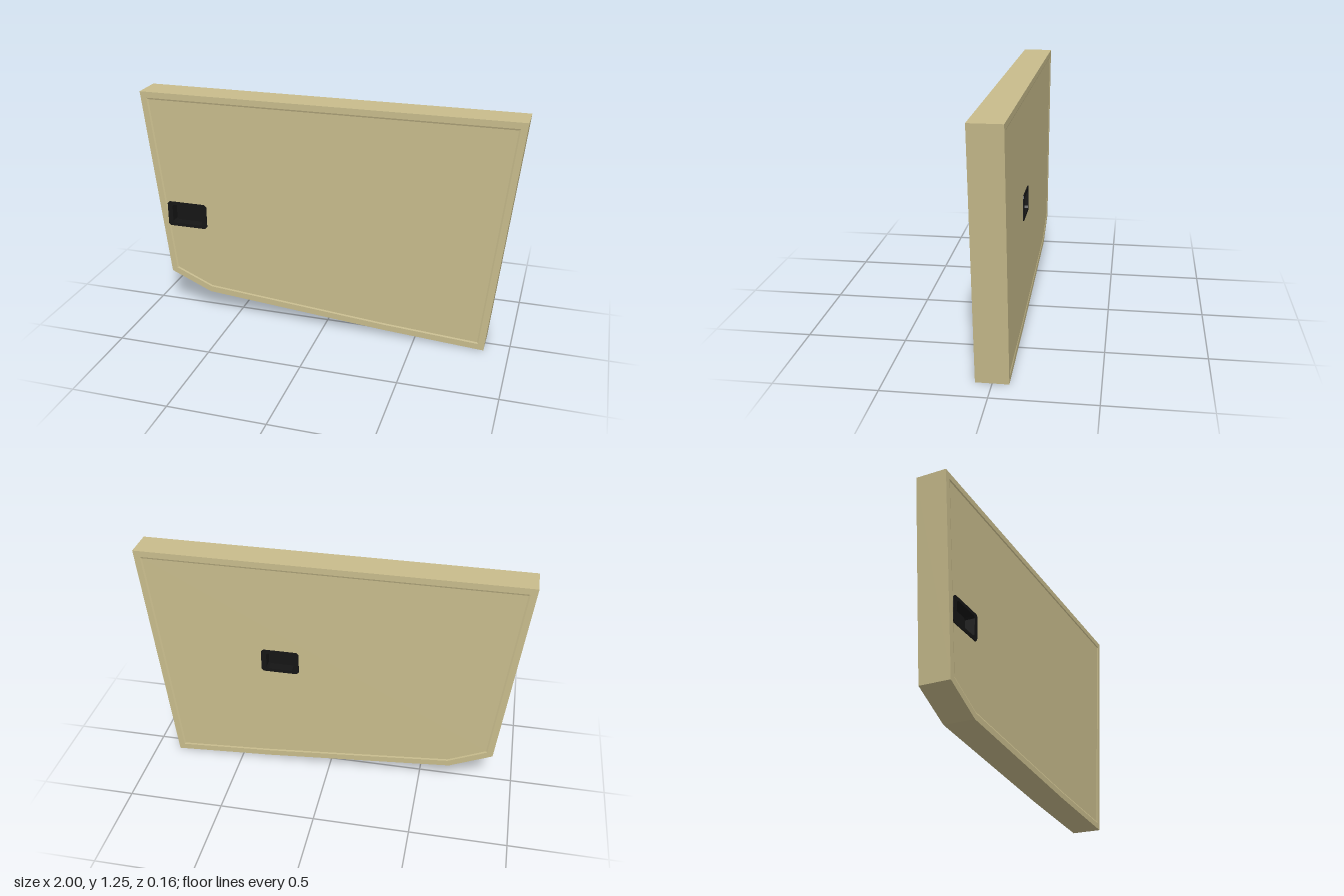
import * as THREE from 'three';

// Panel outline, counter-clockwise seen from the front
const OUTLINE = [[-1, 1.246], [-0.885, 0.22], [-0.66, 0.12], [0.33, 0.035], [0.87, 0], [1, 1.25]]
  .map(([x, y]) => new THREE.Vector2(x, y));

// Move every edge inwards by d
function inset(points, d) {
  const n = points.length;
  return points.map((p, i) => {
    const a = p.clone().sub(points[(i + n - 1) % n]).normalize();
    const b = points[(i + 1) % n].clone().sub(p).normalize();
    const na = new THREE.Vector2(-a.y, a.x), nb = new THREE.Vector2(-b.y, b.x);
    return p.clone().add(na.clone().add(nb).multiplyScalar(d / (1 + na.dot(nb))));
  });
}

// Rectangle with chamfered corners
function chamferRect(Type, x, y, w, h, c) {
  const l = x - w / 2, r = x + w / 2, b = y - h / 2, t = y + h / 2;
  return new Type([[l + c, b], [r - c, b], [r, b + c], [r, t - c], [r - c, t], [l + c, t], [l, t - c], [l, b + c]]
    .map(([px, py]) => new THREE.Vector2(px, py)));
}

// Side walls and rims swept through inset copies of the outline
function edgeGeometry(sections) {
  const loops = sections.map(([d, z]) => inset(OUTLINE, d).map(p => [p.x, p.y, z]));
  const pos = [], n = OUTLINE.length;
  for (let s = 0; s < loops.length - 1; s++) {
    for (let i = 0; i < n; i++) {
      const j = (i + 1) % n;
      const a = loops[s][i], b = loops[s][j], c = loops[s + 1][j], d = loops[s + 1][i];
      pos.push(...a, ...b, ...c, ...a, ...c, ...d);
    }
  }
  const g = new THREE.BufferGeometry();
  g.setAttribute('position', new THREE.Float32BufferAttribute(pos, 3));
  g.computeVertexNormals();
  return g;
}

export function createModel() {
  const group = new THREE.Group();
  const tan = new THREE.MeshStandardMaterial({ color: 0xc8bc8c });
  tan.name = 'tan panel';
  const black = new THREE.MeshStandardMaterial({ color: 0x151515 });
  black.name = 'black plastic';
  const add = (parent, geometry, material, name) => {
    const mesh = new THREE.Mesh(geometry, material);
    mesh.name = name;
    parent.add(mesh);
    return mesh;
  };

  add(group, edgeGeometry([[0.04, -0.077], [0.032, -0.08], [0, -0.08], [0, 0.08], [0.032, 0.08], [0.04, 0.077]]),
    tan, 'panelEdge');

  // Each side has a skin and a recessed handle; the back is turned half round
  const sides = [
    { name: 'front', x: -0.773, y: 0.57, w: 0.225, h: 0.14, mirror: 1 },
    { name: 'back', x: 0.26, y: 0.675, w: 0.2, h: 0.13, mirror: -1 },
  ];
  for (const { name, x, y, w, h, mirror } of sides) {
    const side = new THREE.Group();
    side.name = name + 'Side';
    if (mirror < 0) side.rotation.y = Math.PI;
    group.add(side);
    const cx = x * mirror;

    // Skin with an opening for the handle
    const points = inset(OUTLINE, 0.04).map(p => new THREE.Vector2(p.x * mirror, p.y));
    const skin = new THREE.Shape(points);
    skin.holes.push(chamferRect(THREE.Path, cx, y, w - 0.05, h - 0.03, 0.01));
    add(side, new THREE.ShapeGeometry(skin), tan, name + 'Skin').position.z = 0.077;

    // Handle surround and pocket walls
    const rim = chamferRect(THREE.Shape, cx, y, w, h, 0.012);
    rim.holes.push(chamferRect(THREE.Path, cx, y, w - 0.055, h - 0.035, 0.01));
    add(side, new THREE.ExtrudeGeometry(rim, { depth: 0.007, bevelEnabled: false }), black, name + 'HandleRim')
      .position.z = 0.075;
    const wall = chamferRect(THREE.Shape, cx, y, w - 0.048, h - 0.028, 0.01);
    wall.holes.push(chamferRect(THREE.Path, cx, y, w - 0.055, h - 0.035, 0.01));
    add(side, new THREE.ExtrudeGeometry(wall, { depth: 0.05, bevelEnabled: false }), black, name + 'HandleWalls')
      .position.z = 0.025;

    // Pocket floor
    const floor = chamferRect(THREE.Shape, cx, y, w - 0.05, h - 0.03, 0.01);
    add(side, new THREE.ShapeGeometry(floor), black, name + 'HandleFloor').position.z = 0.03;
  }
  return group;
}
